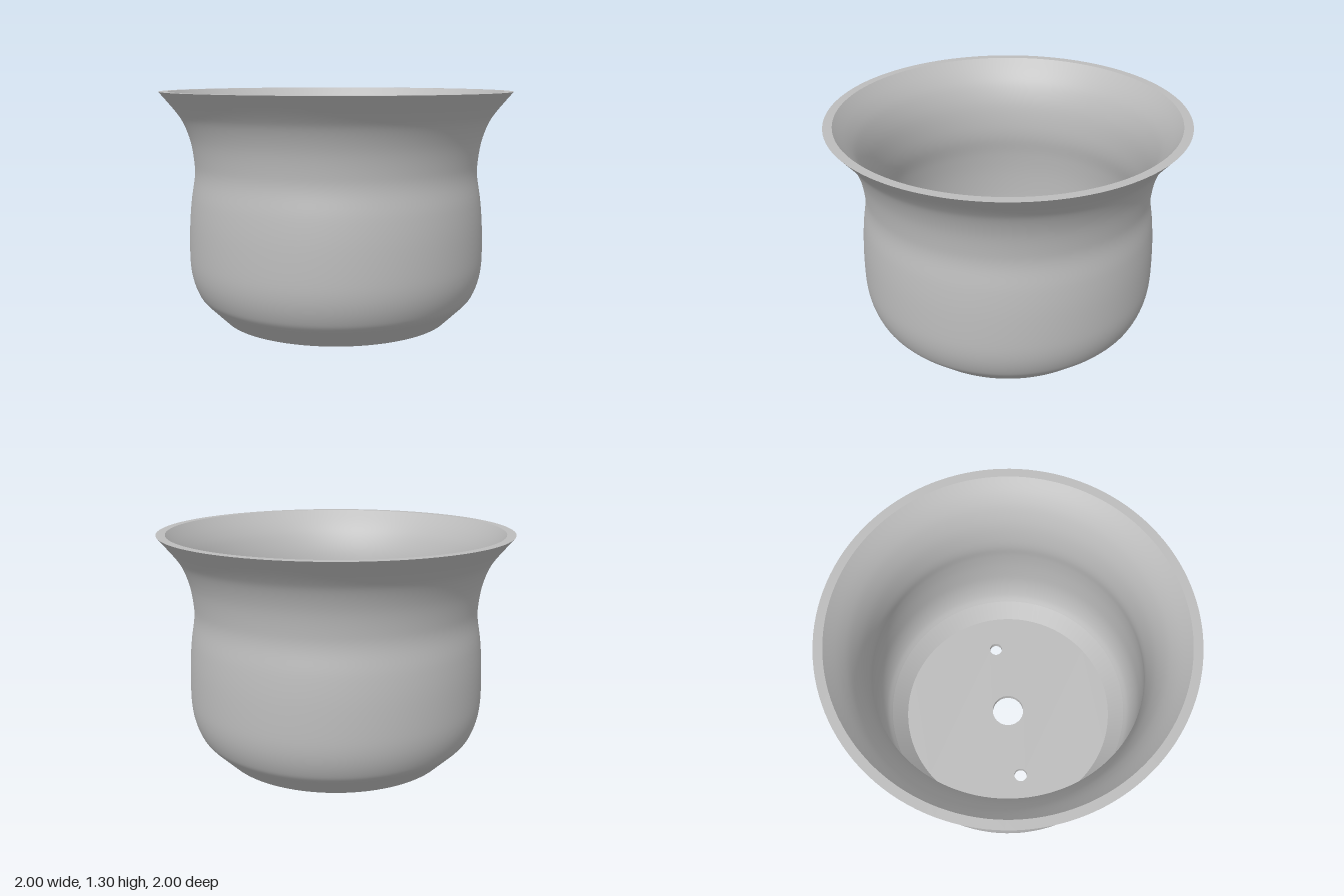
import * as THREE from 'three';

const SEGMENTS = 128;
const FLOOR = 0.04; // base thickness

export function createModel() {
  const group = new THREE.Group();
  group.name = 'flowerPot';
  const clay = new THREE.MeshStandardMaterial({ color: 0xbcbcbc });
  clay.name = 'grey';

  const add = (name, geometry) => {
    const mesh = new THREE.Mesh(geometry, clay);
    mesh.name = name;
    group.add(mesh);
    return mesh;
  };
  const vectors = (list) => list.map(([x, y]) => new THREE.Vector2(x, y));
  const lathe = (list) => new THREE.LatheGeometry(vectors(list), SEGMENTS);
  const smoothLathe = (list) =>
    new THREE.LatheGeometry(new THREE.SplineCurve(vectors(list)).getPoints(64), SEGMENTS);

  // Outside: chamfered foot, then the belly, waist and flared lip
  add('foot', lathe([[0.66, 0], [0.772, 0.11]]));
  add('outerWall', smoothLathe([
    [0.772, 0.11], [0.802, 0.15], [0.83, 0.22], [0.846, 0.3], [0.85, 0.4], [0.845, 0.56],
    [0.832, 0.7], [0.812, 0.83], [0.814, 0.92], [0.832, 1.03], [0.868, 1.13], [0.913, 1.2], [1, 1.305],
  ]));

  // Flat rim joining both walls
  add('rim', lathe([[1, 1.305], [0.95, 1.305]]));

  // Inside runs downwards so that it faces the axis
  add('innerWall', smoothLathe([
    [0.95, 1.305], [0.88, 1.222], [0.832, 1.145], [0.795, 1.045], [0.776, 0.93], [0.774, 0.82],
    [0.793, 0.69], [0.806, 0.55], [0.81, 0.4], [0.806, 0.31], [0.792, 0.235], [0.77, 0.175], [0.743, 0.135],
  ]));
  add('innerFoot', lathe([[0.743, 0.135], [0.655, FLOOR]]));

  // Base disc with a large drain hole and two small ones
  const disc = new THREE.Shape().absarc(0, 0, 0.659, 0, Math.PI * 2, false);
  for (const [x, radius] of [[0, 0.1], [-0.44, 0.04], [0.44, 0.04]]) {
    disc.holes.push(new THREE.Path().absarc(x, 0, radius, 0, Math.PI * 2, true));
  }
  const base = new THREE.ExtrudeGeometry(disc, { depth: FLOOR, bevelEnabled: false, curveSegments: 96 });
  base.rotateX(-Math.PI / 2);
  add('base', base);

  return group;
}
